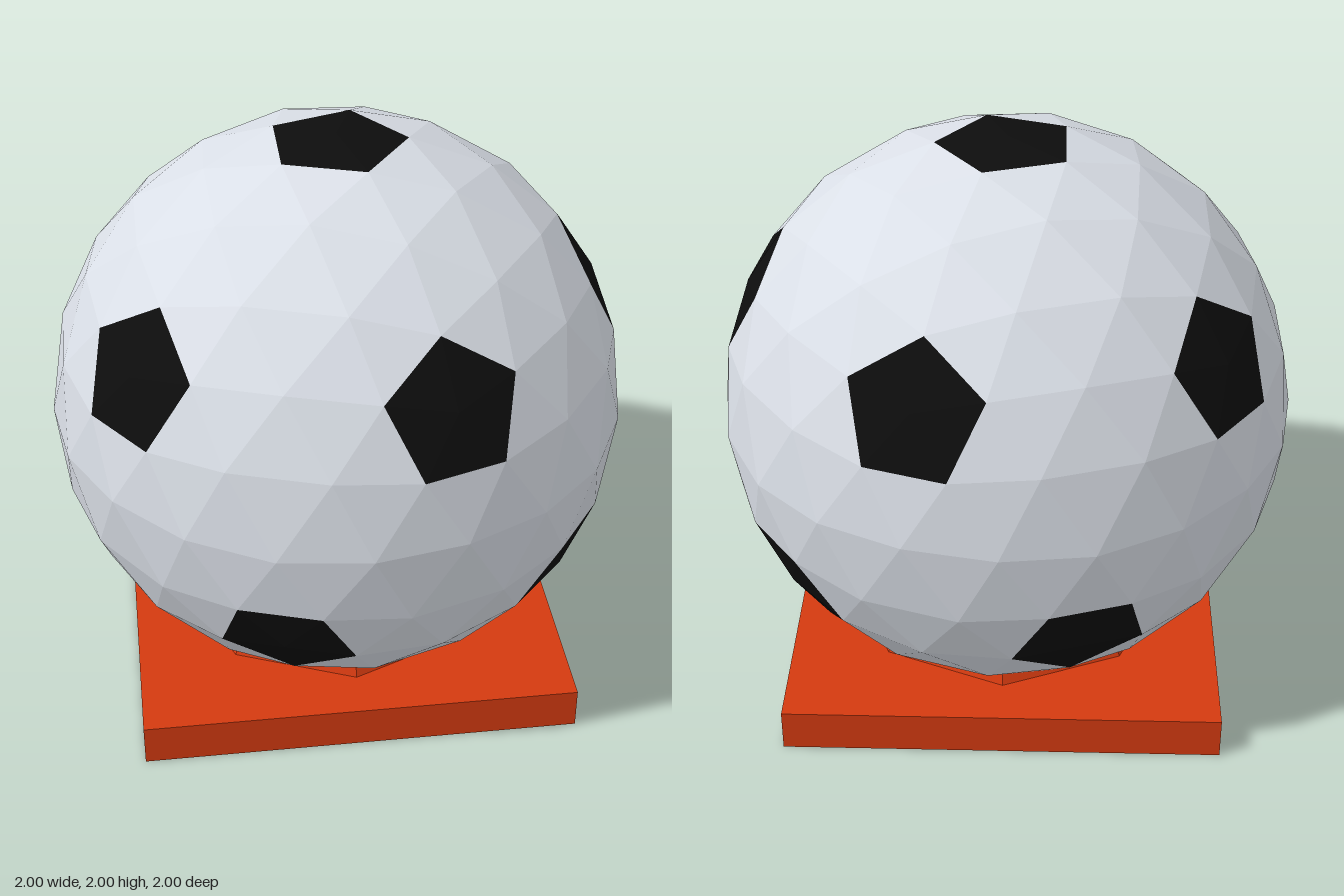
import * as THREE from 'three';

const material = (name, color) => {
  const m = new THREE.MeshStandardMaterial({ color, flatShading: true });
  m.name = name;
  return m;
};

// Twelve icosahedron corners with the poles on the y axis
function icosahedronCorners() {
  const ring = (y, start) => Array.from({ length: 5 }, (_, k) => {
    const a = start + k * Math.PI * 0.4, r = Math.sqrt(0.8);
    return new THREE.Vector3(r * Math.cos(a), y, r * Math.sin(a));
  });
  const h = Math.sqrt(0.2);
  return {
    top: new THREE.Vector3(0, 1, 0), upper: ring(h, 0),
    lower: ring(-h, Math.PI / 5), bottom: new THREE.Vector3(0, -1, 0),
  };
}

// Split every icosahedron face in four along each edge; the facets touching a corner form the pentagons
function ballGeometries() {
  const { top, upper, lower, bottom } = icosahedronCorners();
  const N = 4, panels = [], pentagons = [];
  const weight = (i) => Math.pow(i / N, 1.043);

  const addFace = (A, B, C) => {
    const point = (i, j) => new THREE.Vector3()
      .addScaledVector(A, weight(N - i - j))
      .addScaledVector(B, weight(i))
      .addScaledVector(C, weight(j)).normalize();
    const addFacet = (cells) => {
      const [a, b, c] = cells.map(([i, j]) => point(i, j));
      const isCorner = cells.some(([i, j]) => Math.max(i, j, N - i - j) === N);
      const normal = b.clone().sub(a).cross(c.clone().sub(a));
      const order = normal.dot(a) > 0 ? [a, b, c] : [a, c, b];
      order.forEach((p) => (isCorner ? pentagons : panels).push(p.x, p.y, p.z));
    };
    for (let i = 0; i < N; i++) {
      for (let j = 0; j < N - i; j++) {
        addFacet([[i, j], [i + 1, j], [i, j + 1]]);
        if (i + j < N - 1) addFacet([[i + 1, j], [i + 1, j + 1], [i, j + 1]]);
      }
    }
  };

  for (let k = 0; k < 5; k++) {
    const n = (k + 1) % 5;
    addFace(top, upper[k], upper[n]);
    addFace(upper[k], upper[n], lower[k]);
    addFace(lower[k], lower[n], upper[n]);
    addFace(bottom, lower[k], lower[n]);
  }
  return [panels, pentagons].map((positions) => {
    const g = new THREE.BufferGeometry();
    g.setAttribute('position', new THREE.Float32BufferAttribute(positions, 3));
    g.computeVertexNormals();
    return g;
  });
}

export function createModel() {
  const white = material('ball white', 0xdde2ea);
  const black = material('ball black', 0x0d0d0d);
  const red = material('stand red', 0xd43a10);

  const model = new THREE.Group();
  model.name = 'ballOnStand';
  const add = (parent, name, geometry, mat, y = 0) => {
    const mesh = new THREE.Mesh(geometry, mat);
    mesh.name = name;
    mesh.position.y = y;
    parent.add(mesh);
  };

  // Faceted ball
  const ball = new THREE.Group();
  ball.name = 'ball';
  ball.position.y = 1;
  const [panels, pentagons] = ballGeometries();
  add(ball, 'whitePanels', panels, white);
  add(ball, 'blackPentagons', pentagons, black);
  model.add(ball);

  // Square base and tapered octagonal collar
  add(model, 'base', new THREE.BoxGeometry(1.526, 0.15, 1.526), red, 0.075);
  add(model, 'collar', new THREE.CylinderGeometry(0.54, 0.59, 0.1, 8), red, 0.2);
  return model;
}
